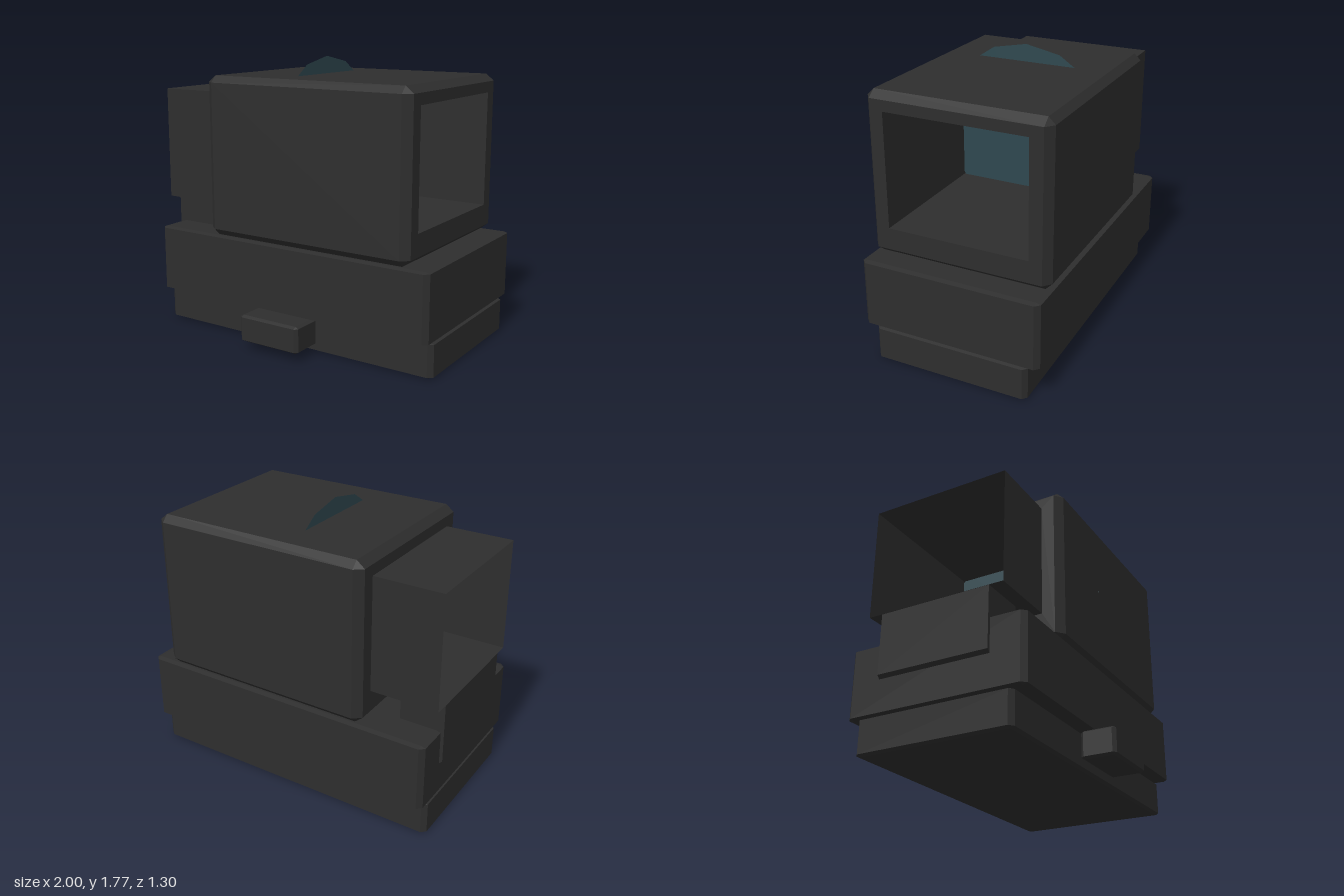
import * as THREE from 'three';
import { ConvexGeometry } from 'three/addons/geometries/ConvexGeometry.js';

const Z0 = -0.07; // middle of the device in z

// Box given by its limits, with all edges bevelled by [cx, cy, cz]
function bevelBox([x0, x1], [y0, y1], [z0, z1], [cx, cy, cz]) {
  const pts = [];
  for (const [x, sx] of [[x0, 1], [x1, -1]])
    for (const [y, sy] of [[y0, 1], [y1, -1]])
      for (const [z, sz] of [[z0, 1], [z1, -1]]) {
        const bx = x + sx * cx, by = y + sy * cy, bz = z + sz * cz;
        pts.push(new THREE.Vector3(x, by, bz), new THREE.Vector3(bx, y, bz), new THREE.Vector3(bx, by, z));
      }
  return new ConvexGeometry(pts);
}

// Drop the faces that look along x, leaving the ends open
function openEnds(geo) {
  const p = geo.attributes.position, n = geo.attributes.normal, pos = [], nor = [];
  for (let i = 0; i < p.count; i += 3) {
    if (Math.abs(n.getX(i)) > 0.99) continue;
    for (let k = i; k < i + 3; k++) {
      pos.push(p.getX(k), p.getY(k), p.getZ(k));
      nor.push(n.getX(k), n.getY(k), n.getZ(k));
    }
  }
  const out = new THREE.BufferGeometry();
  out.setAttribute('position', new THREE.Float32BufferAttribute(pos, 3));
  out.setAttribute('normal', new THREE.Float32BufferAttribute(nor, 3));
  return out;
}

const rect = (Type, hw, y0, y1) => new Type([
  new THREE.Vector2(-hw, y0), new THREE.Vector2(hw, y0),
  new THREE.Vector2(hw, y1), new THREE.Vector2(-hw, y1),
]);

export function createModel() {
  const group = new THREE.Group();
  const black = new THREE.MeshStandardMaterial({ name: 'matteBlack', color: 0x2e2e2e });
  const blackThin = new THREE.MeshStandardMaterial({ name: 'matteBlackThin', color: 0x2e2e2e, side: THREE.DoubleSide });
  const glass = new THREE.MeshStandardMaterial({ name: 'tealGlass', color: 0x2f4850, side: THREE.DoubleSide });
  const add = (name, geo, mat = black) => {
    const m = new THREE.Mesh(geo, mat);
    m.name = name;
    group.add(m);
    return m;
  };

  // Two-step mount
  add('lowerBase', bevelBox([-0.98, 1], [0, 0.218], [-0.57, 0.43], [0.03, 0.01, 0.025]));
  add('upperBase', bevelBox([-0.98, 1], [0.222, 0.648], [-0.645, 0.505], [0.03, 0.008, 0.03]));
  add('clampKnob', bevelBox([-0.21, 0.22], [0.05, 0.22], [0.43, 0.65], [0.02, 0.012, 0.02]));

  // Housing shell with a frame around the window at each end
  add('housing', openEnds(bevelBox([-0.565, 0.87], [0.65, 1.66], [-0.645, 0.505], [0.052, 0.042, 0.042])));
  const frame = rect(THREE.Shape, 0.533, 0.692, 1.618);
  frame.holes.push(rect(THREE.Path, 0.45, 0.83, 1.55));
  for (const [name, x, turn] of [['frontFrame', 0.87, 1], ['rearFrame', -0.565, -1]]) {
    const m = add(name, new THREE.ShapeGeometry(frame));
    m.rotation.y = turn * Math.PI / 2;
    m.position.set(x, 0, Z0);
  }

  // Thin open tube running through the housing and out behind it as a hood
  const tubeLength = 1.87, tubeX = -0.065;
  for (const [name, y] of [['tubeFloor', 0.83], ['tubeRoof', 1.55]]) {
    const m = add(name, new THREE.PlaneGeometry(tubeLength, 0.9), blackThin);
    m.rotation.x = -Math.PI / 2;
    m.position.set(tubeX, y, Z0);
  }
  for (const [name, s] of [['tubeLeftWall', 1], ['tubeRightWall', -1]]) {
    const m = add(name, new THREE.PlaneGeometry(tubeLength, 0.72), blackThin);
    m.position.set(tubeX, 1.19, Z0 + s * 0.45);
  }

  // Bracket carrying the hood, with its lower outer edge cut
  const side = new THREE.Shape();
  side.moveTo(-0.98, 0.43).lineTo(-0.715, 0.43).lineTo(-0.715, 0.829).lineTo(-1, 0.829).lineTo(-1, 0.45);
  const bracket = add('hoodBracket', new THREE.ExtrudeGeometry(side, { depth: 0.72, bevelEnabled: false }));
  bracket.position.z = Z0 - 0.36;

  // Sixteen-sided lens pane across the tube
  const lens = add('lens', new THREE.CircleGeometry(0.577, 16), glass);
  lens.rotation.y = Math.PI / 2;
  lens.position.set(-0.04, 1.193, Z0);

  return group;
}
